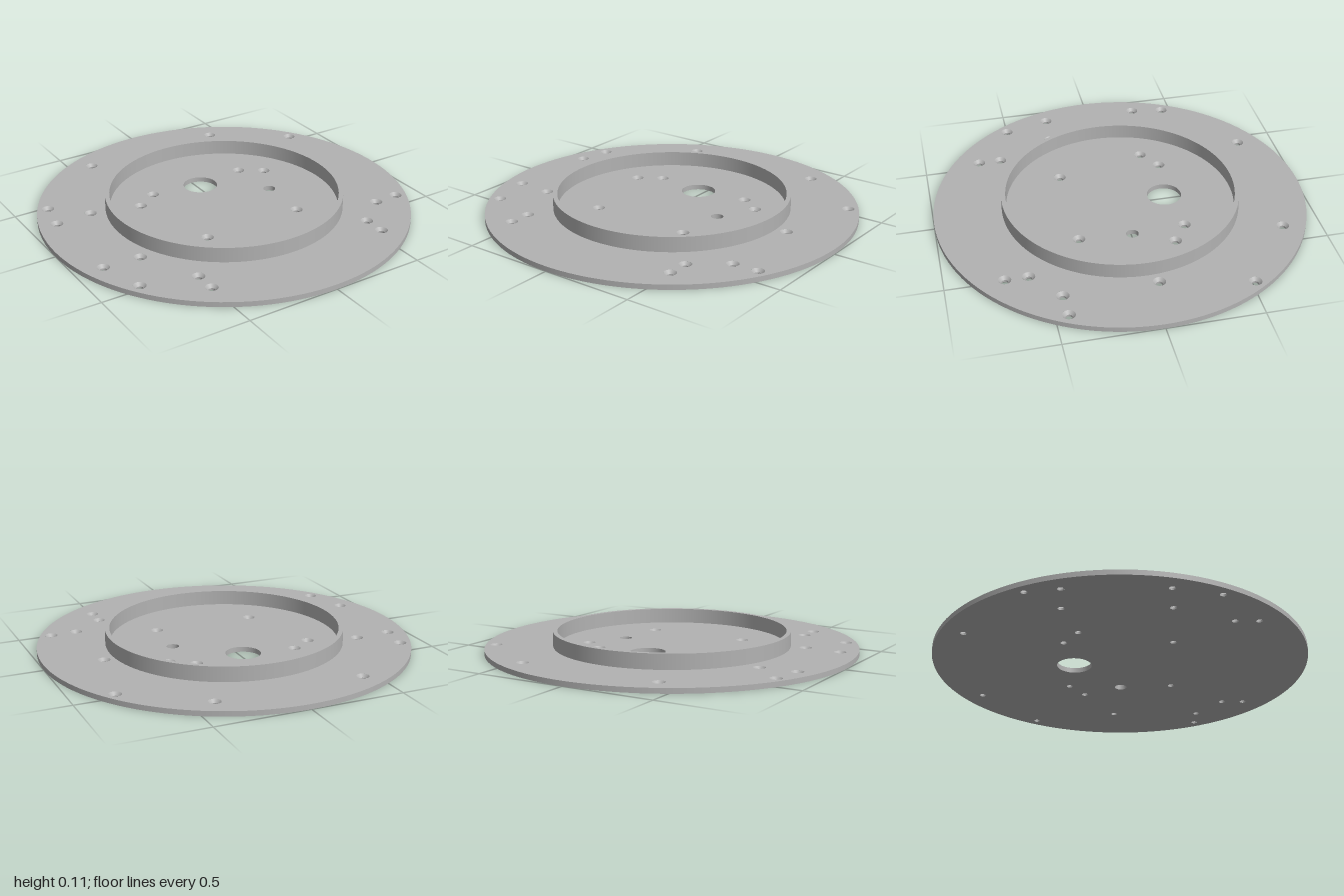
import * as THREE from 'three';
import { mergeGeometries } from 'three/addons/utils/BufferGeometryUtils.js';

const PLATE_TOP = 0.027, RING_TOP = 0.108;

// Countersunk screw holes: [x, z]
const SCREWS = [
  [-0.4, -0.787], [0.4, -0.787], [0.795, -0.51], [-0.835, -0.44],
  [-0.865, -0.265], [-0.665, -0.275], [-0.28, -0.285], [0.28, -0.285],
  [-0.4, -0.205], [0.4, -0.205], [0.695, -0.045], [-0.865, 0.26],
  [-0.665, 0.27], [-0.28, 0.28], [0.28, 0.28], [-0.797, 0.503],
  [-0.517, 0.58], [-0.517, 0.7], [0.517, 0.58], [0.517, 0.7],
  [0.695, 0.44], [0.835, 0.435],
];
// Straight through holes: [x, z, radius]
const BORES = [[0, -0.245, 0.093], [0.297, 0, 0.033]];
const SINK_R = 0.033, SCREW_R = 0.017, SINK_Y = 0.011;

// Turned surface with a hard edge at every profile point
function turned(profile, segments) {
  const bands = [];
  for (let i = 0; i + 1 < profile.length; i++) {
    const pair = [profile[i], profile[i + 1]].map(([r, y]) => new THREE.Vector2(r, y));
    bands.push(new THREE.LatheGeometry(pair, segments));
  }
  return mergeGeometries(bands);
}

// Flat disc pierced by all holes; side is +1 facing up, -1 facing down
function disc(screwRadius, y, side) {
  const shape = new THREE.Shape().absarc(0, 0, 1, 0, Math.PI * 2);
  const holes = [...SCREWS.map(([x, z]) => [x, z, screwRadius]), ...BORES];
  for (const [x, z, r] of holes) {
    shape.holes.push(new THREE.Path().absarc(x, -side * z, r, 0, Math.PI * 2, true));
  }
  return new THREE.ShapeGeometry(shape, 64).rotateX(-side * Math.PI / 2).translate(0, y, 0);
}

export function createModel() {
  const group = new THREE.Group();
  const metal = new THREE.MeshStandardMaterial({ color: 0xb2b2b2 });
  metal.name = 'grey metal';

  const add = (name, geometry, x = 0, z = 0) => {
    const mesh = new THREE.Mesh(geometry, metal);
    mesh.name = name;
    mesh.position.set(x, 0, z);
    group.add(mesh);
  };

  // Base plate
  add('plateTop', disc(SINK_R, PLATE_TOP, 1));
  add('plateBottom', disc(SCREW_R, 0, -1));
  add('plateRim', turned([[1, 0], [1, PLATE_TOP]], 128));

  // Raised locating ring
  add('raisedRing', turned([
    [0.638, PLATE_TOP], [0.638, RING_TOP], [0.614, RING_TOP], [0.614, PLATE_TOP],
  ], 128));

  // Hole walls, facing inwards
  const screwWall = turned([[SINK_R, PLATE_TOP], [SCREW_R, SINK_Y], [SCREW_R, 0]], 32);
  for (const [x, z] of SCREWS) add('countersunkHole', screwWall, x, z);
  for (const [x, z, r] of BORES) add('throughHole', turned([[r, PLATE_TOP], [r, 0]], 64), x, z);

  return group;
}
